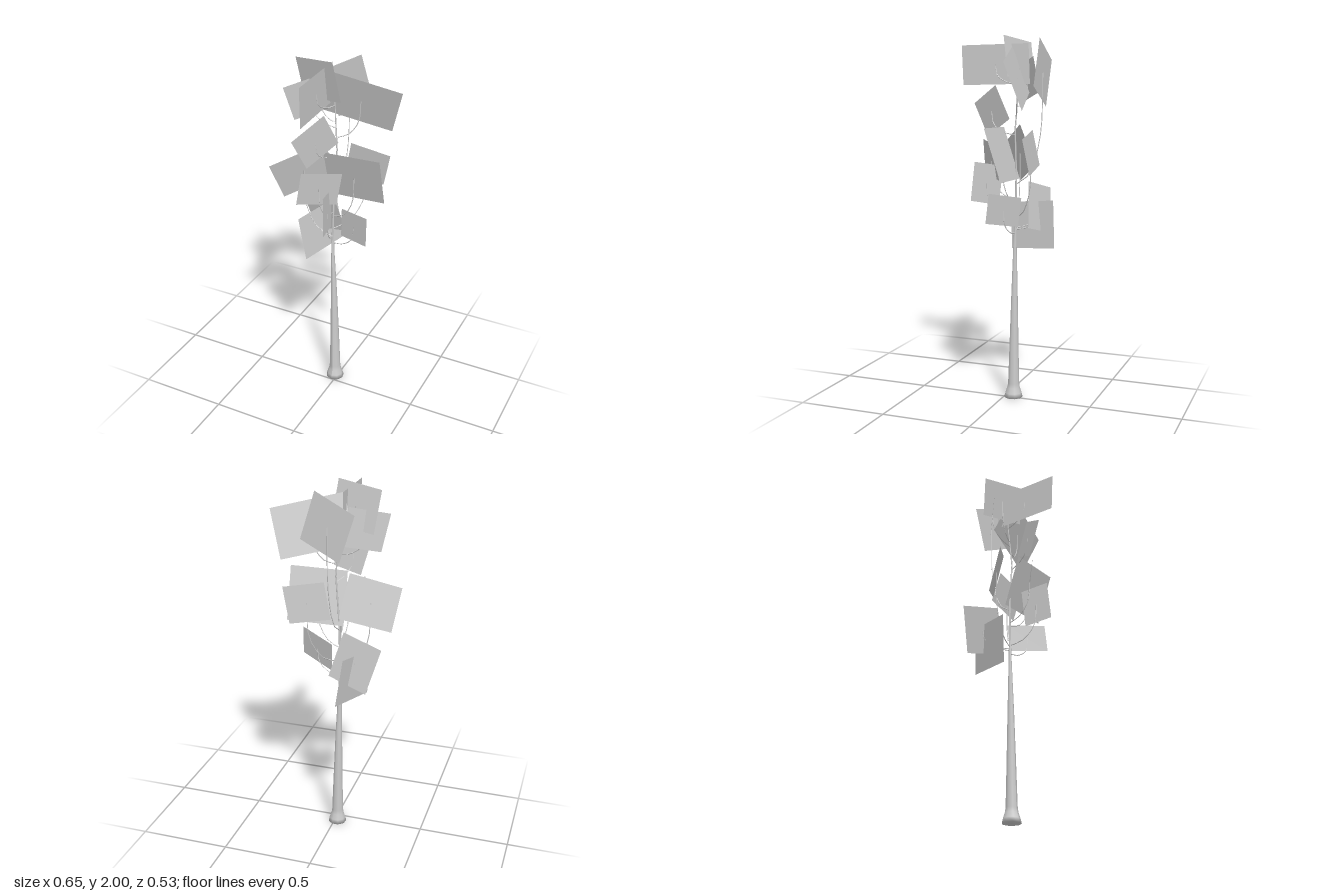
import * as THREE from 'three';

const grey = new THREE.MeshStandardMaterial({ color: 0xcccccc });
const flatGrey = new THREE.MeshStandardMaterial({ color: 0xcccccc, flatShading: true, side: THREE.DoubleSide });
const V = (x, y, z) => new THREE.Vector3(x, y, z);

// Centre line of the slightly leaning stem
const stem = new THREE.CatmullRomCurve3([
  V(-0.015, 0, -0.05), V(-0.022, 0.5, -0.052), V(-0.032, 0.95, -0.053),
  V(-0.028, 1.25, -0.06), V(-0.01, 1.5, -0.06), V(-0.03, 1.75, -0.075), V(-0.04, 1.86, -0.07),
]);
function stemAt(y) {
  let lo = 0, hi = 1;
  for (let i = 0; i < 24; i++) {
    const mid = (lo + hi) / 2;
    if (stem.getPoint(mid).y < y) lo = mid; else hi = mid;
  }
  return stem.getPoint(lo);
}

// Flared, tapering trunk whose rings follow the stem
function makeTrunk() {
  const profile = [
    [0, 0], [0.052, 0], [0.046, 0.025], [0.036, 0.055], [0.032, 0.08], [0.026, 0.3], [0.018, 0.6],
    [0.010, 0.85], [0.006, 1.0], [0.005, 1.25], [0.004, 1.5], [0.003, 1.75], [0, 1.86],
  ].map(([r, y]) => new THREE.Vector2(r, y));
  const geo = new THREE.LatheGeometry(profile, 9);
  const pos = geo.attributes.position;
  for (let i = 0; i < pos.count; i++) {
    const c = stemAt(pos.getY(i));
    pos.setX(i, pos.getX(i) + c.x);
    pos.setZ(i, pos.getZ(i) + c.z);
  }
  geo.computeVertexNormals();
  const mesh = new THREE.Mesh(geo, grey);
  mesh.name = 'trunk';
  return mesh;
}

// Flat leaf card: parallelogram from its top left, top right and bottom left corners
function makeCard(tl, tr, bl) {
  const br = tr.clone().add(bl).sub(tl);
  const geo = new THREE.BufferGeometry().setFromPoints([tl, bl, br, tr]);
  geo.setIndex([0, 1, 2, 0, 2, 3]);
  geo.computeVertexNormals();
  const mesh = new THREE.Mesh(geo, flatGrey);
  mesh.name = 'leafCard';
  return mesh;
}

// Thin twig that leaves the stem outwards and rises to the middle of a card
function makeTwig(startY, end) {
  const start = stemAt(startY);
  const rise = end.y - startY;
  const at = (t, h) => V(
    THREE.MathUtils.lerp(start.x, end.x, t), startY + rise * h, THREE.MathUtils.lerp(start.z, end.z, t));
  const path = new THREE.CatmullRomCurve3([start, at(0.5, 0.1), at(0.92, 0.45), end]);
  const mesh = new THREE.Mesh(new THREE.TubeGeometry(path, 8, 0.0025, 4), flatGrey);
  mesh.name = 'twig';
  return mesh;
}

// Each: twig start height, then top left, top right and bottom left corners
const leaves = [
  // crown
  [1.65, [-0.25, 1.97, -0.065], [-0.005, 2.0, 0.005], [-0.22, 1.75, -0.1]],
  [1.62, [-0.275, 1.83, 0.03], [-0.1, 1.89, -0.13], [-0.24, 1.64, -0.02]],
  [1.57, [-0.045, 1.94, -0.03], [0.325, 1.85, -0.12], [-0.125, 1.695, -0.1]],
  [1.74, [-0.05, 1.95, 0.268], [-0.065, 1.957, -0.115], [-0.052, 1.735, 0.26]],
  [1.2, [-0.155, 1.87, -0.217], [0.05, 1.98, -0.217], [-0.075, 1.62, -0.212]],
  // middle
  [1.47, [-0.125, 1.635, 0.225], [-0.025, 1.735, 0.06], [-0.09, 1.455, 0.13]],
  [0.97, [-0.325, 1.41, 0.115], [-0.085, 1.525, -0.06], [-0.295, 1.19, 0.015]],
  [1.1, [-0.05, 1.51, 0.02], [0.265, 1.515, 0.01], [-0.055, 1.23, -0.07]],
  [1.12, [-0.105, 1.438, 0.165], [0.06, 1.41, 0.02], [-0.138, 1.25, 0.165]],
  [1.02, [0.02, 1.5, -0.17], [0.24, 1.46, -0.19], [-0.025, 1.31, -0.195]],
  // lower
  [0.98, [0.02, 1.32, 0.165], [-0.01, 1.3, 0.01], [0.03, 1.105, 0.185]],
  [0.96, [-0.29, 1.16, -0.17], [-0.07, 1.215, -0.115], [-0.215, 0.912, -0.2]],
  [0.93, [0, 1.13, -0.1], [0.2, 1.17, 0.01], [0.005, 0.97, -0.083]],
  [0.95, [-0.2, 1.08, 0.035], [-0.105, 1.11, -0.247], [-0.165, 0.82, 0.015]],
];

export function createModel() {
  const group = new THREE.Group();
  group.name = 'tree';
  group.add(makeTrunk());

  const foliage = new THREE.Group();
  foliage.name = 'foliage';
  const branches = new THREE.Group();
  branches.name = 'branches';
  for (const [startY, ...corners] of leaves) {
    const [tl, tr, bl] = corners.map((c) => V(...c));
    foliage.add(makeCard(tl, tr, bl));
    branches.add(makeTwig(startY, tr.clone().add(bl).multiplyScalar(0.5)));
  }
  group.add(branches, foliage);
  return group;
}
